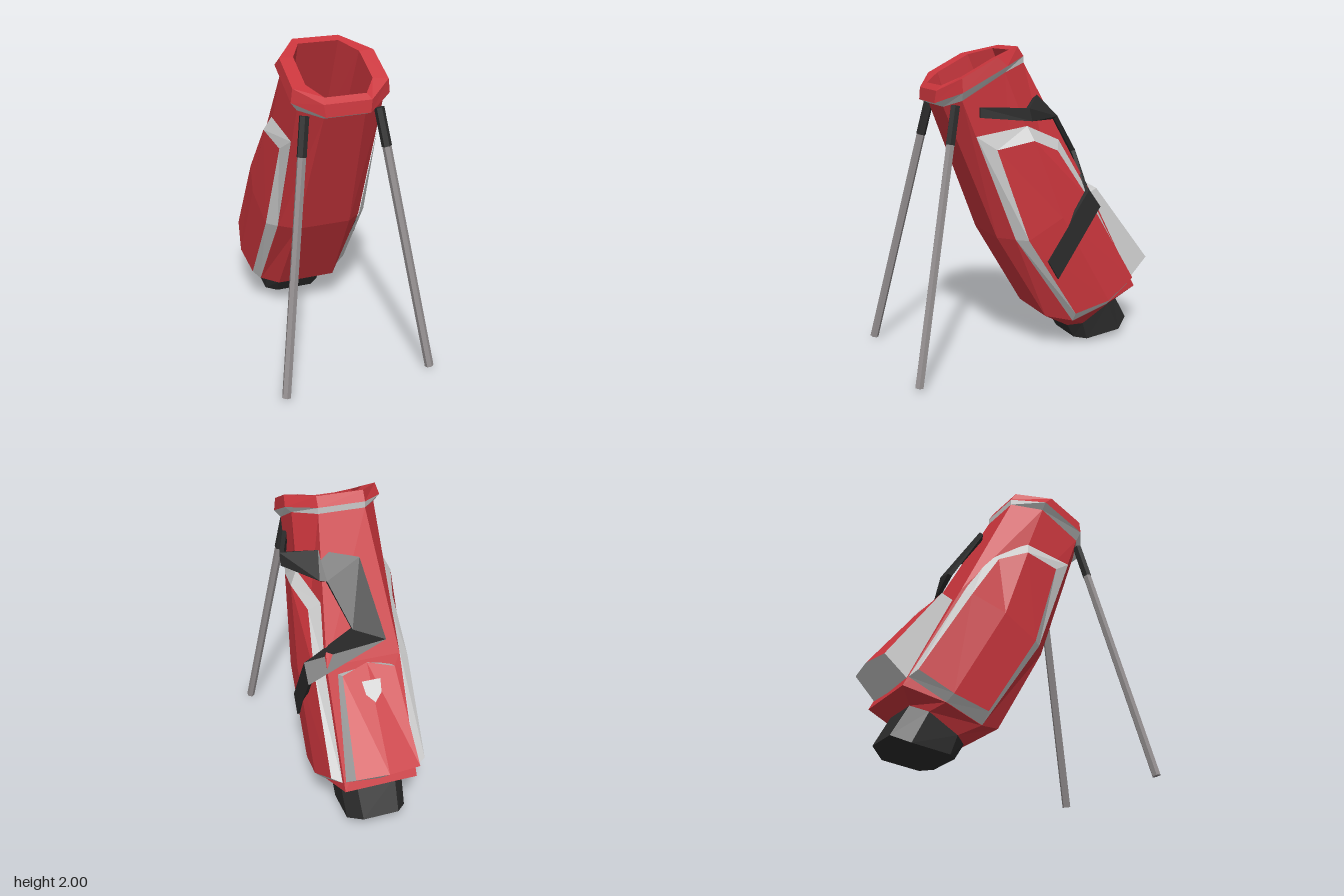
import * as THREE from 'three';

const mat = (color) => new THREE.MeshStandardMaterial({ color, flatShading: true });
const RED = mat(0xc9353c), GREY = mat(0xcccccc), BLACK = mat(0x2b2b2b), METAL = mat(0x948f90);

// Flat-shaded mesh from triangles / quads given as corner points
function faceMesh(name, faces, material) {
  const pos = [];
  for (const f of faces)
    for (let i = 1; i < f.length - 1; i++) pos.push(...f[0], ...f[i], ...f[i + 1]);
  const g = new THREE.BufferGeometry();
  g.setAttribute('position', new THREE.Float32BufferAttribute(pos, 3));
  g.computeVertexNormals();
  const mesh = new THREE.Mesh(g, material);
  mesh.name = name;
  return mesh;
}

const flip = ([x, y, z]) => [-x, y, z];
const mirror = (faces) => faces.map((f) => f.map(flip).reverse());
const both = (faces) => [...faces, ...mirror(faces)];

// Octagon from its +x half: front, front side, back side, back
const octagon = (half) => [...half, ...half.map(flip).reverse()];

// Faces joining successive closed cross-sections
function loft(rings) {
  const faces = [];
  for (let r = 0; r < rings.length - 1; r++) {
    const a = rings[r], b = rings[r + 1], n = a.length;
    for (let i = 0; i < n; i++) {
      const j = (i + 1) % n;
      faces.push([a[i], a[j], b[j], b[i]]);
    }
  }
  return faces;
}
const cap = (ring, c) => ring.map((p, i) => [p, ring[(i + 1) % ring.length], c]);

function rod(name, a, b, radius, material) {
  const A = new THREE.Vector3(...a), B = new THREE.Vector3(...b);
  const m = new THREE.Mesh(new THREE.CylinderGeometry(radius, radius, A.distanceTo(B), 6), material);
  m.name = name;
  m.position.copy(A).add(B).multiplyScalar(0.5);
  m.quaternion.setFromUnitVectors(new THREE.Vector3(0, 1, 0), B.sub(A).normalize());
  return m;
}

export function createModel() {
  const model = new THREE.Group();
  model.name = 'golfBag';

  // Octagonal sections from the base up to the mouth
  const baseLow = octagon([[0.13, 0.02, -0.365], [0.2, 0.02, -0.43], [0.2, 0.05, -0.68], [0.12, 0.1, -0.78]]);
  const baseTop = octagon([[0.14, 0.115, -0.31], [0.21, 0.14, -0.39], [0.21, 0.25, -0.58], [0.13, 0.295, -0.67]]);
  const lip = octagon([[0.2, 0.23, -0.11], [0.28, 0.2, -0.27], [0.3, 0.29, -0.52], [0.24, 0.365, -0.77]]);
  const waist = octagon([[0.18, 0.8, 0.23], [0.28, 0.8, 0.145], [0.31, 0.95, -0.15], [0.24, 1.08, -0.4]]);
  const neck = octagon([[0.13, 1.645, 0.56], [0.27, 1.69, 0.49], [0.27, 1.85, 0.21], [0.15, 1.9, 0.03]]);
  const rimLow = octagon([[0.14, 1.67, 0.62], [0.31, 1.74, 0.5], [0.31, 1.89, 0.21], [0.15, 1.94, 0.03]]);
  const rimTop = octagon([[0.15, 1.745, 0.61], [0.3, 1.825, 0.5], [0.3, 1.945, 0.27], [0.15, 2.0, 0.07]]);
  const mouth = octagon([[0.13, 1.775, 0.57], [0.21, 1.83, 0.47], [0.21, 1.94, 0.26], [0.13, 1.98, 0.12]]);
  const floor = octagon([[0.13, 1.1, 0.32], [0.2, 1.13, 0.25], [0.2, 1.27, -0.02], [0.13, 1.35, -0.12]]);

  model.add(
    faceMesh('base', [...loft([baseLow, baseTop]), ...cap([...baseLow].reverse(), [0, 0, -0.58])], BLACK),
    faceMesh('body', loft([baseTop, lip, waist, neck]), RED),
    faceMesh('neckBand', loft([neck, rimLow]), GREY),
    faceMesh('rimAndLining', loft([rimLow, rimTop, mouth, floor]), RED),
    faceMesh('innerFloor', cap(floor, [0, 1.21, 0.1]), BLACK),
  );

  // Raised side panels: rows top to bottom, columns front to back
  const outer = [
    [[0.278, 1.47, 0.405], [0.29, 1.52, 0.07], [0.21, 1.41, -0.19]],
    [[0.285, 0.8, 0.145], null, [0.25, 1.06, -0.39]],
    [[0.285, 0.2, -0.27], [0.305, 0.29, -0.52], [0.25, 0.42, -0.74]],
  ];
  const inner = [
    [[0.31, 1.385, 0.28], [0.335, 1.43, 0.04], [0.28, 1.35, -0.15]],
    [[0.345, 0.8, 0.08], [0.36, 0.93, -0.15], [0.31, 1.03, -0.36]],
    [[0.345, 0.27, -0.26], [0.36, 0.33, -0.5], [0.315, 0.45, -0.71]],
  ];
  const around = [[0, 0], [1, 0], [2, 0], [2, 1], [2, 2], [1, 2], [0, 2], [0, 1]];
  const pick = (grid) => around.map(([r, c]) => grid[r][c]);
  const piping = loft([pick(outer), pick(inner)]);
  const panel = [];
  for (let r = 0; r < 2; r++)
    for (let c = 0; c < 2; c++)
      panel.push([inner[r][c], inner[r + 1][c], inner[r + 1][c + 1], inner[r][c + 1]]);
  model.add(
    faceMesh('leftPanelPiping', piping, GREY),
    faceMesh('rightPanelPiping', mirror(piping), GREY),
    faceMesh('leftPanel', panel, RED),
    faceMesh('rightPanel', mirror(panel), RED),
  );

  // Wedge pocket on the back
  const top = [0.17, 1.06, -0.5], topMid = [0, 1.1, -0.46];
  const low = [0.21, 0.55, -0.88], lowMid = [0, 0.56, -0.905];
  const rootTop = [0.18, 1.01, -0.395], rootTopMid = [0, 1.035, -0.4];
  const rootLow = [0.23, 0.4, -0.72], rootLowMid = [0, 0.39, -0.74];
  const patch = [[0.06, 0.16], [0.05, 0.28], [0, 0.36], [0, 0.16]]
    .map(([x, u]) => [x, 1.108 - 0.54 * u, -0.47 - 0.445 * u]);
  const pocket = new THREE.Group();
  pocket.name = 'backPocket';
  pocket.add(
    faceMesh('pocketFace', both([[top, low, lowMid, topMid]]), RED),
    faceMesh('pocketSides', both([
      [rootTop, rootLow, low, top],
      [top, topMid, rootTopMid, rootTop],
      [low, rootLow, rootLowMid, lowMid],
    ]), GREY),
    faceMesh('pocketPatch', both([patch]), GREY),
  );
  model.add(pocket);

  // Shoulder strap: each section has two edges and an outward direction
  const strapRings = [
    [[0.29, 1.645, 0.38], [0.29, 1.585, 0.38], [1, 0, 0]],
    [[0.385, 1.64, 0.1], [0.385, 1.56, 0.08], [1, 0, -0.2]],
    [[0.18, 1.7, -0.05], [0.21, 1.56, -0.18], [0.4, 0.6, -0.7]],
    [[-0.05, 1.67, -0.16], [0.17, 1.56, -0.2], [0, 0.5, -0.85]],
    [[-0.13, 1.23, -0.44], [0.07, 1.31, -0.39], [0, 0.2, -1]],
    [[0.365, 0.98, -0.42], [0.365, 1.09, -0.33], [0.8, 0, -0.4]],
    [[0.365, 0.53, -0.12], [0.365, 0.65, -0.05], [1, 0, 0]],
  ].map(([a, b, n]) => {
    const inset = (p) => p.map((v, i) => v - 0.03 * n[i]);
    return [a, b, inset(b), inset(a)];
  });
  const first = strapRings[0], last = strapRings[strapRings.length - 1];
  model.add(faceMesh('shoulderStrap', [...loft(strapRings), [...first].reverse(), last], BLACK));

  // Stand legs with dark upper sleeves
  for (const s of [1, -1]) {
    const leg = new THREE.Group();
    leg.name = s > 0 ? 'leftLeg' : 'rightLeg';
    const hip = [s * 0.235, 1.66, 0.52], joint = [s * 0.27, 1.43, 0.57], foot = [s * 0.48, 0.015, 0.87];
    leg.add(rod('legSleeve', hip, joint, 0.031, BLACK), rod('legTube', joint, foot, 0.028, METAL));
    model.add(leg);
  }
  return model;
}
